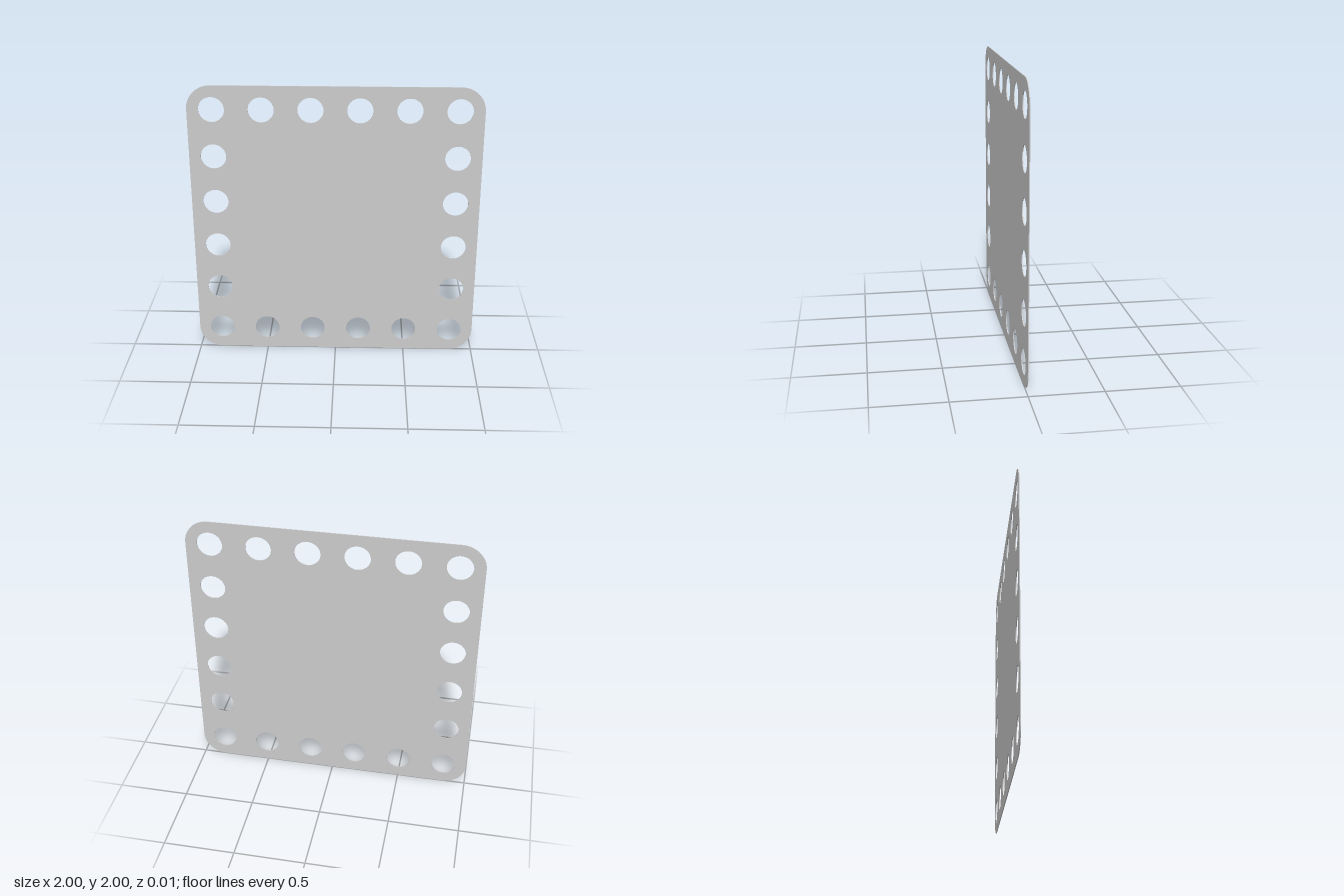
import * as THREE from 'three';
import { toCreasedNormals } from 'three/addons/utils/BufferGeometryUtils.js';

const SIZE = 2;            // plate width and height
const THICKNESS = 0.006;
const COUNT = 6;           // holes along each side
const PITCH = SIZE / COUNT;
const HOLE_RADIUS = 0.0875;
const CORNER_RADIUS = PITCH / 2;

// Square outline with rounded corners, each concentric with its corner hole
function roundedSquare(size, r) {
  const c = size / 2 - r;
  const shape = new THREE.Shape();
  [[c, c], [-c, c], [-c, -c], [c, -c]].forEach(([x, y], i) => {
    shape.absarc(x, y, r, i * Math.PI / 2, (i + 1) * Math.PI / 2, false);
  });
  shape.closePath();
  return shape;
}

export function createModel() {
  const model = new THREE.Group();
  model.name = 'perforatedPlate';

  const outline = roundedSquare(SIZE, CORNER_RADIUS);

  // One ring of evenly spaced holes around the border
  const last = COUNT - 1;
  for (let i = 0; i < COUNT; i++) {
    for (let j = 0; j < COUNT; j++) {
      if (i > 0 && i < last && j > 0 && j < last) continue;
      const hole = new THREE.Path();
      hole.absarc((i - last / 2) * PITCH, (j - last / 2) * PITCH, HOLE_RADIUS, 0, Math.PI * 2, true);
      outline.holes.push(hole);
    }
  }

  // Thin sheet, centred in depth and standing on the ground
  const geometry = new THREE.ExtrudeGeometry(outline, {
    depth: THICKNESS, bevelEnabled: false, curveSegments: 32,
  });
  geometry.translate(0, SIZE / 2, -THICKNESS / 2);

  const plate = new THREE.Mesh(
    toCreasedNormals(geometry, Math.PI / 6),
    new THREE.MeshStandardMaterial({ color: 0xcccccc }),
  );
  plate.name = 'plate';
  model.add(plate);
  return model;
}
